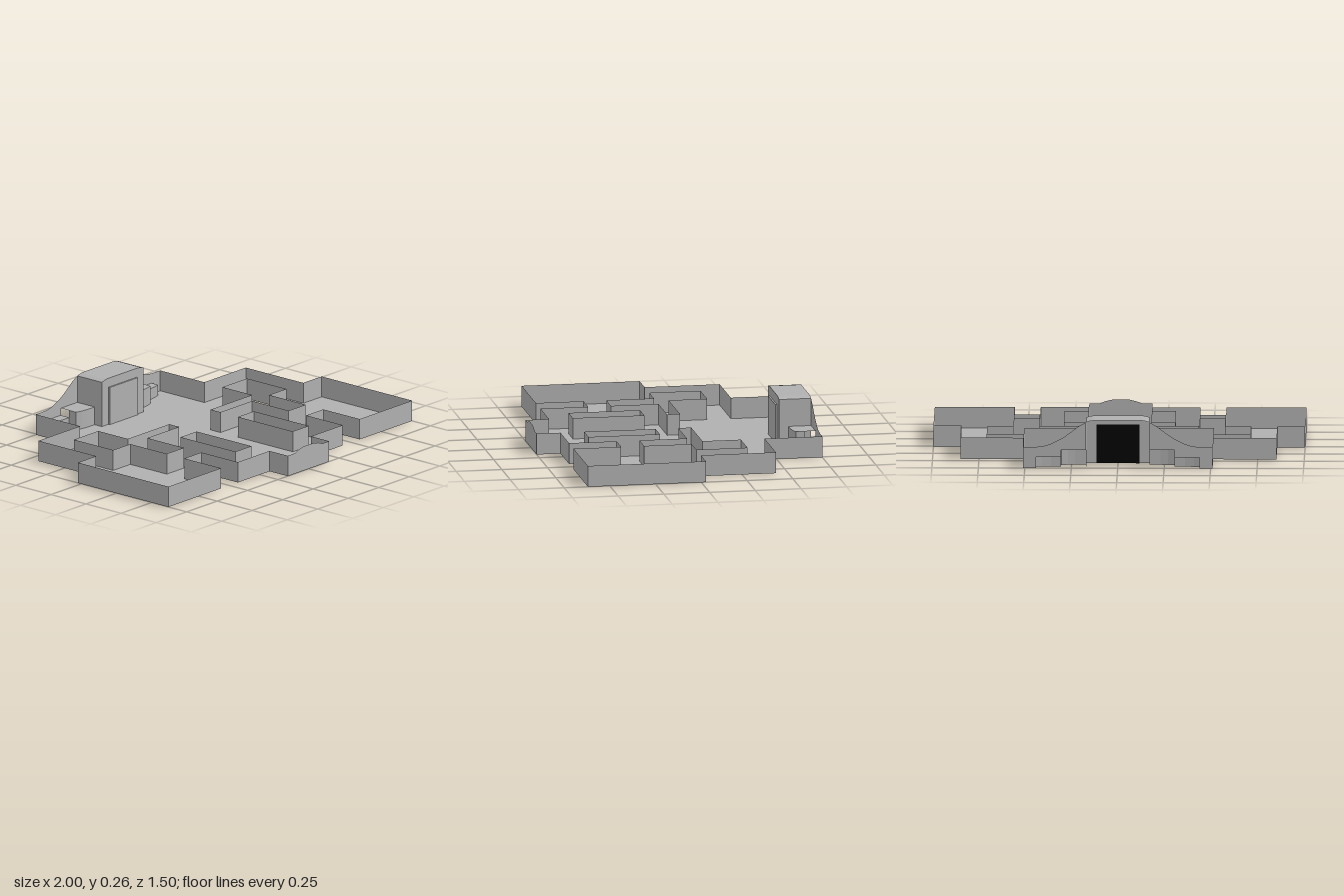
import * as THREE from 'three';
import { mergeGeometries } from 'three/addons/utils/BufferGeometryUtils.js';

const WALL = 0.115, BACK = -0.75, HALL_Z = -0.575;

export function createModel() {
  const group = new THREE.Group();
  const grey = new THREE.MeshStandardMaterial({ color: 0xb0b0b0, side: THREE.DoubleSide });
  grey.name = 'stone grey';
  const black = new THREE.MeshStandardMaterial({ color: 0x030303 });
  black.name = 'black';

  const add = (name, geometry, material = grey) => {
    const mesh = new THREE.Mesh(geometry, material);
    mesh.name = name;
    group.add(mesh);
    return mesh;
  };
  const mirror = (pts) => pts.map(([x, z]) => [-x, z]).reverse();
  const vectors = (pts) => pts.map(([x, y]) => new THREE.Vector2(x, y));

  // Thin upright walls along a plan path of [x, z] points
  const wallPath = (pts, height, closed = false) => {
    const parts = [];
    const count = closed ? pts.length : pts.length - 1;
    for (let i = 0; i < count; i++) {
      const [x0, z0] = pts[i], [x1, z1] = pts[(i + 1) % pts.length];
      const g = new THREE.PlaneGeometry(Math.hypot(x1 - x0, z1 - z0), height);
      g.rotateY(-Math.atan2(z1 - z0, x1 - x0));
      g.translate((x0 + x1) / 2, height / 2, (z0 + z1) / 2);
      parts.push(g);
    }
    return mergeGeometries(parts);
  };
  // Upright sheet facing +z, from [x, y] points
  const sheet = (pts, z) => new THREE.ShapeGeometry(new THREE.Shape(vectors(pts))).translate(0, 0, z);

  // Plan: outer rooms, stepped recess at the back, and inner openings
  const rooms = [
    [0.17, 0.75], [0.17, 0.62], [0.43, 0.62], [0.43, 0.36], [0.57, 0.36], [0.57, 0.62],
    [1, 0.62], [1, -0.025], [0.85, -0.025], [0.85, -0.435], [0.51, -0.435], [0.51, BACK], [0.44, BACK],
  ];
  const outerStep = [[0.44, BACK], [0.44, -0.705], [0.41, -0.697], [0.36, -0.69], [0.305, -0.69]];
  const middleStep = [[0.305, -0.69], [0.305, -0.642], [0.27, -0.632], [0.23, -0.627], [0.17, -0.627]];
  const half = [...rooms, ...outerStep.slice(1), ...middleStep.slice(1), [0.17, HALL_Z]];
  const court = [
    [0.51, -0.305], [0.71, -0.305], [0.71, -0.025], [0.57, -0.025], [0.57, 0.235],
    [0.43, 0.235], [0.43, -0.025], [0.17, -0.025], [0.17, -0.095], [0.51, -0.095],
  ];
  const slot = [[0.17, 0.1], [0.3, 0.1], [0.3, 0.49], [0.17, 0.49]];
  const holes = [court, slot, mirror(court), mirror(slot)];

  // Floor
  const flip = (pts) => vectors(pts.map(([x, z]) => [x, -z]));
  const plan = new THREE.Shape(flip([...half, ...mirror(half)]));
  plan.holes = holes.map((h) => new THREE.Path(flip(h)));
  add('floor', new THREE.ShapeGeometry(plan).rotateX(-Math.PI / 2));

  // Walls
  add('leftOuterWalls', wallPath(rooms, WALL));
  add('rightOuterWalls', wallPath(mirror(rooms), WALL));
  holes.forEach((h) => add('innerWalls', wallPath(h, WALL, true)));

  // Front wall with a low raised centre
  add('frontWall', sheet([
    [-0.17, 0], [0.17, 0], [0.17, WALL], [0.115, WALL], [0.08, 0.128], [0.045, 0.136],
    [-0.045, 0.136], [-0.08, 0.128], [-0.115, WALL], [-0.17, WALL],
  ], 0.75));

  // Steps either side of the gatehouse, and the curved screen behind them
  const steps = [
    { path: outerStep, height: 0.06, inner: 0.305 },
    { path: middleStep, height: 0.1, inner: 0.17 },
  ];
  const screen = [
    [0.44, 0.06], [0.44, WALL], [0.4, 0.12], [0.36, 0.132], [0.3, 0.162], [0.26, 0.19],
    [0.21, 0.228], [0.17, 0.25], [0.17, 0.1], [0.305, 0.1], [0.305, 0.06],
  ];
  for (const s of [1, -1]) {
    const side = (pts) => pts.map(([x, y]) => [s * x, y]);
    for (const { path, height, inner } of steps) {
      add('stepFront', wallPath(side(path), height));
      const top = [...path, [inner, BACK], [path[0][0], BACK]];
      add('stepTop', new THREE.ShapeGeometry(new THREE.Shape(flip(side(top))))
        .rotateX(-Math.PI / 2).translate(0, height, 0));
    }
    add('curvedScreen', sheet(side(screen), BACK));
    add('gatehouseSide', wallPath(side([[0.17, BACK], [0.17, HALL_Z]]), 0.25));
  }

  // Gatehouse front and gently curved roof
  const roofLine = [[0.17, 0.25], [0.15, 0.256], [0.125, 0.26], [-0.125, 0.26], [-0.15, 0.256], [-0.17, 0.25]];
  add('gatehouseFront', sheet([[-0.17, 0], [0.17, 0], ...roofLine], HALL_Z));
  const roof = new THREE.PlaneGeometry(0.34, HALL_Z - BACK, roofLine.length - 1, 1);
  roof.rotateX(-Math.PI / 2).translate(0, 0, (HALL_Z + BACK) / 2);
  const pos = roof.attributes.position;
  for (let i = 0; i < pos.count; i++) {
    const [x, y] = roofLine[roofLine.length - 1 - (i % roofLine.length)];
    pos.setX(i, x);
    pos.setY(i, y);
  }
  roof.computeVertexNormals();
  add('gatehouseRoof', roof);

  // Door panel, with a dark face behind it
  add('door', new THREE.BoxGeometry(0.23, 0.21, 0.009).translate(0, 0.105, HALL_Z + 0.0055));
  add('doorBack', new THREE.PlaneGeometry(0.23, 0.21).rotateY(Math.PI)
    .translate(0, 0.105, HALL_Z - 0.003), black);

  return group;
}
